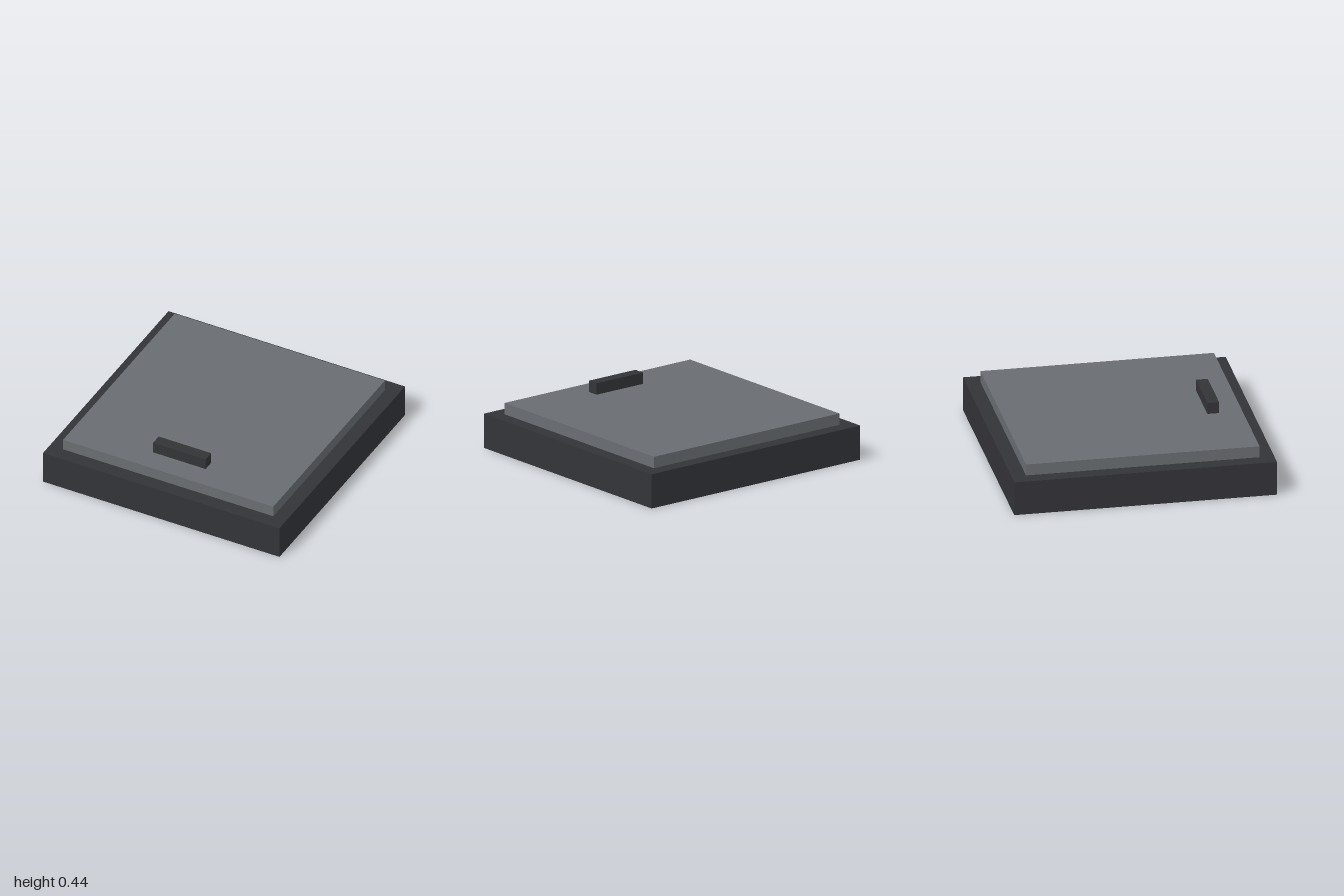
import * as THREE from 'three';

// Box standing on the given height
function addBox(group, name, color, [w, h, d], y, z = 0) {
  const mesh = new THREE.Mesh(
    new THREE.BoxGeometry(w, h, d),
    new THREE.MeshStandardMaterial({ color })
  );
  mesh.name = name;
  mesh.position.set(0, y + h / 2, z);
  group.add(mesh);
}

export function createModel() {
  const group = new THREE.Group();
  group.name = 'hatch';
  const baseTop = 0.267, lidTop = 0.356;

  // Square frame, inset lid and the handle near the front edge
  addBox(group, 'base', 0x333438, [2, baseTop, 2], 0);
  addBox(group, 'lid', 0x696d71, [1.778, lidTop - baseTop, 1.778], baseTop);
  addBox(group, 'handle', 0x333436, [0.444, 0.089, 0.089], lidTop, 0.667);
  return group;
}
